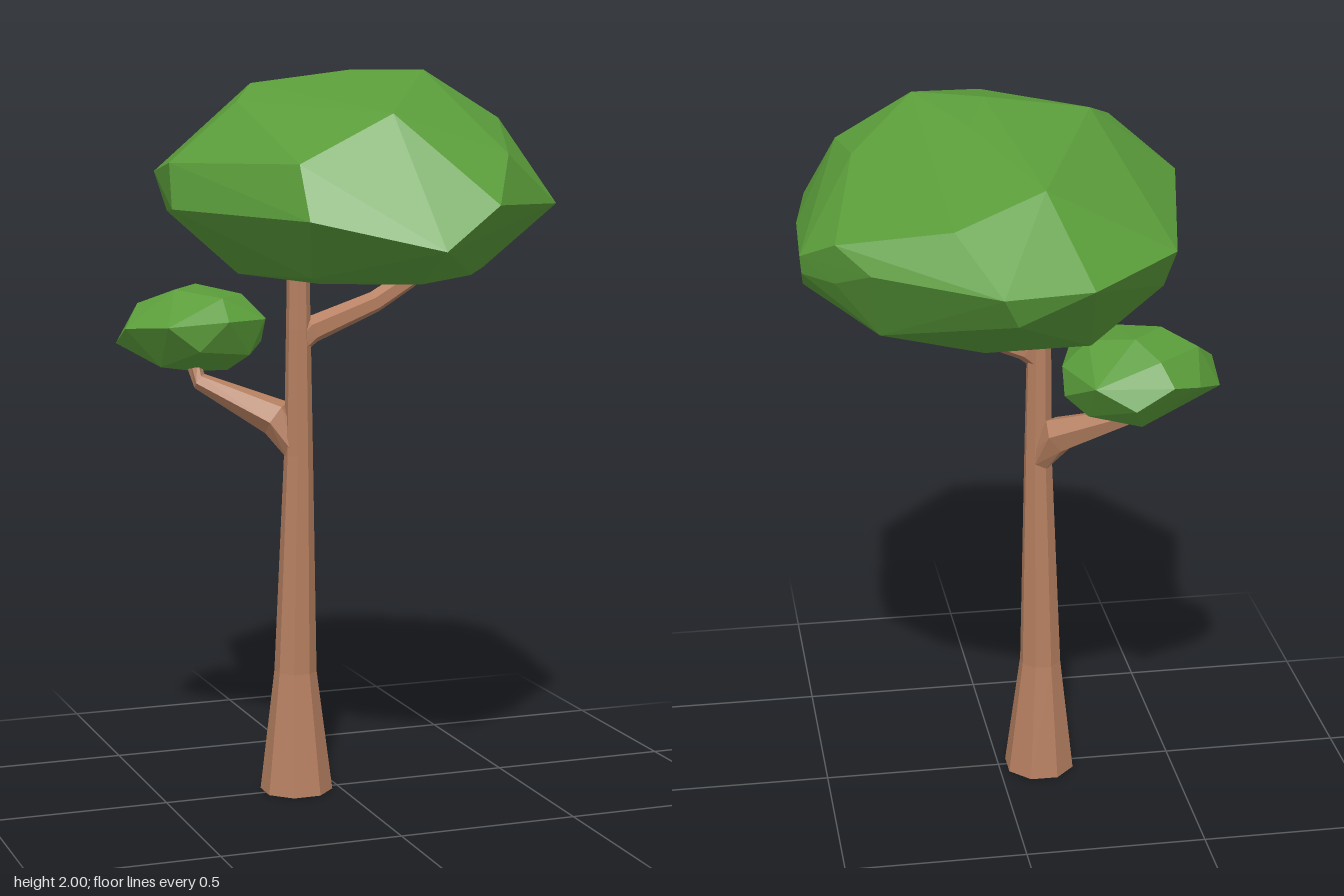
import * as THREE from 'three';
import { ConvexGeometry } from 'three/addons/geometries/ConvexGeometry.js';

const bark = new THREE.MeshStandardMaterial({ color: 0xb57f60, flatShading: true });
const leaf = new THREE.MeshStandardMaterial({ color: 0x5a9c3a, flatShading: true });

// Faceted limb: each station is [x, y, z, radius], joined by rings of n sides and capped
function limb(name, stations, n) {
  const centres = stations.map(s => new THREE.Vector3(s[0], s[1], s[2]));
  const last = centres.length - 1;
  const pos = [], index = [];
  centres.forEach((c, k) => {
    const t = centres[Math.min(k + 1, last)].clone().sub(centres[Math.max(k - 1, 0)]).normalize();
    const u = new THREE.Vector3(0, 0, 1).addScaledVector(t, -t.z).normalize();
    const v = t.clone().cross(u);
    for (let i = 0; i < n; i++) {
      const a = ((i + 0.5) / n) * Math.PI * 2;
      const p = c.clone().addScaledVector(u, stations[k][3] * Math.cos(a)).addScaledVector(v, stations[k][3] * Math.sin(a));
      pos.push(p.x, p.y, p.z);
    }
  });
  for (let k = 0; k < last; k++) {
    for (let i = 0; i < n; i++) {
      const a = k * n + i, b = k * n + (i + 1) % n;
      index.push(a, b, b + n, a, b + n, a + n);
    }
  }
  // End caps
  const start = pos.length / 3, top = last * n;
  pos.push(...centres[0].toArray(), ...centres[last].toArray());
  for (let i = 0; i < n; i++) {
    const j = (i + 1) % n;
    index.push(start, j, i, start + 1, top + i, top + j);
  }
  const g = new THREE.BufferGeometry();
  g.setAttribute('position', new THREE.Float32BufferAttribute(pos, 3));
  g.setIndex(index);
  g.computeVertexNormals();
  const mesh = new THREE.Mesh(g, bark);
  mesh.name = name;
  return mesh;
}

// Faceted leaf mass: hull of corner points; a fourth value lifts that corner afterwards to make a hollow
function foliage(name, corners) {
  const g = new ConvexGeometry(corners.map(c => new THREE.Vector3(c[0], c[1], c[2])));
  const p = g.attributes.position;
  for (let i = 0; i < p.count; i++) {
    const hit = corners.find(c => c[3] && Math.hypot(c[0] - p.getX(i), c[1] - p.getY(i), c[2] - p.getZ(i)) < 1e-4);
    if (hit) p.setY(i, p.getY(i) + hit[3]);
  }
  g.computeVertexNormals();
  const mesh = new THREE.Mesh(g, leaf);
  mesh.name = name;
  return mesh;
}

export function createModel() {
  const tree = new THREE.Group();
  tree.name = 'tree';

  // Flared trunk
  tree.add(limb('trunk', [
    [-0.118, 0, -0.008, 0.101], [-0.12, 0.34, -0.008, 0.059],
    [-0.111, 0.95, -0.004, 0.04], [-0.112, 1.3, 0, 0.034], [-0.112, 1.5, 0, 0.03],
  ], 8));

  // Branches, thick where they leave the trunk
  tree.add(limb('upperBranch', [
    [-0.12, 1.25, 0, 0.03], [-0.075, 1.295, 0, 0.038], [0.11, 1.365, 0, 0.03], [0.21, 1.425, 0, 0.028], [0.3, 1.5, 0, 0.024],
  ], 6));
  tree.add(limb('lowerBranch', [
    [-0.115, 0.96, -0.01, 0.035], [-0.16, 1.05, -0.045, 0.054], [-0.345, 1.145, -0.165, 0.024], [-0.36, 1.2, -0.18, 0.021],
  ], 6));

  // Main canopy
  tree.add(foliage('canopy', [
    // crown
    [0.04, 2, 0], [0.22, 2, 0.08], [-0.24, 1.965, -0.02], [-0.31, 1.92, 0.08],
    [0.1, 1.965, -0.16], [0.4, 1.89, -0.1], [0.42, 1.87, 0.13], [-0.02, 1.895, 0.475],
    [0.2, 1.82, -0.58], [-0.04, 1.89, -0.5],
    // shoulder and rim
    [-0.27, 1.77, 0.47], [0.28, 1.79, 0.52], [0.19, 1.67, 0.68], [0.03, 1.56, 0.72],
    [-0.27, 1.63, 0.55], [-0.495, 1.76, 0.07], [-0.5, 1.64, 0.11], [-0.38, 1.71, -0.48],
    [-0.36, 1.6, -0.42], [-0.13, 1.69, -0.7], [0.1, 1.69, -0.73], [0.06, 1.61, -0.7],
    [0.4, 1.7, -0.53], [0.48, 1.76, -0.45], [0.48, 1.65, -0.42], [0.56, 1.7, -0.34], [0.555, 1.65, -0.33],
    [0.53, 1.52, -0.03], [0.54, 1.68, 0], [0.49, 1.65, 0.36],
    // underside
    [0.05, 1.46, 0.5], [0.27, 1.46, 0.3], [-0.2, 1.47, 0.36], [-0.3, 1.46, 0.05],
    [-0.12, 1.44, 0.2], [-0.17, 1.455, -0.44], [0.08, 1.39, -0.28],
    [0.37, 1.51, -0.43], [0.39, 1.46, 0.1], [0.28, 1.41, 0, 0.08],
  ]));

  // Small side clump
  tree.add(foliage('sideClump', [
    [-0.41, 1.4, -0.18], [-0.32, 1.405, -0.28], [-0.21, 1.38, -0.2], [-0.3, 1.38, -0.09],
    [-0.5, 1.36, -0.24], [-0.37, 1.37, -0.37],
    [-0.56, 1.3, -0.15], [-0.56, 1.25, -0.25], [-0.47, 1.31, -0.04], [-0.3, 1.32, -0.03],
    [-0.18, 1.32, -0.08], [-0.14, 1.31, -0.2], [-0.14, 1.24, -0.24], [-0.2, 1.3, -0.36],
    [-0.4, 1.31, -0.41], [-0.3, 1.25, -0.41], [-0.48, 1.29, -0.36],
    [-0.38, 1.24, -0.04], [-0.22, 1.22, -0.1], [-0.46, 1.19, -0.15], [-0.26, 1.17, -0.18],
    [-0.35, 1.165, -0.24], [-0.33, 1.18, -0.34], [-0.2, 1.19, -0.27],
  ]));

  return tree;
}
